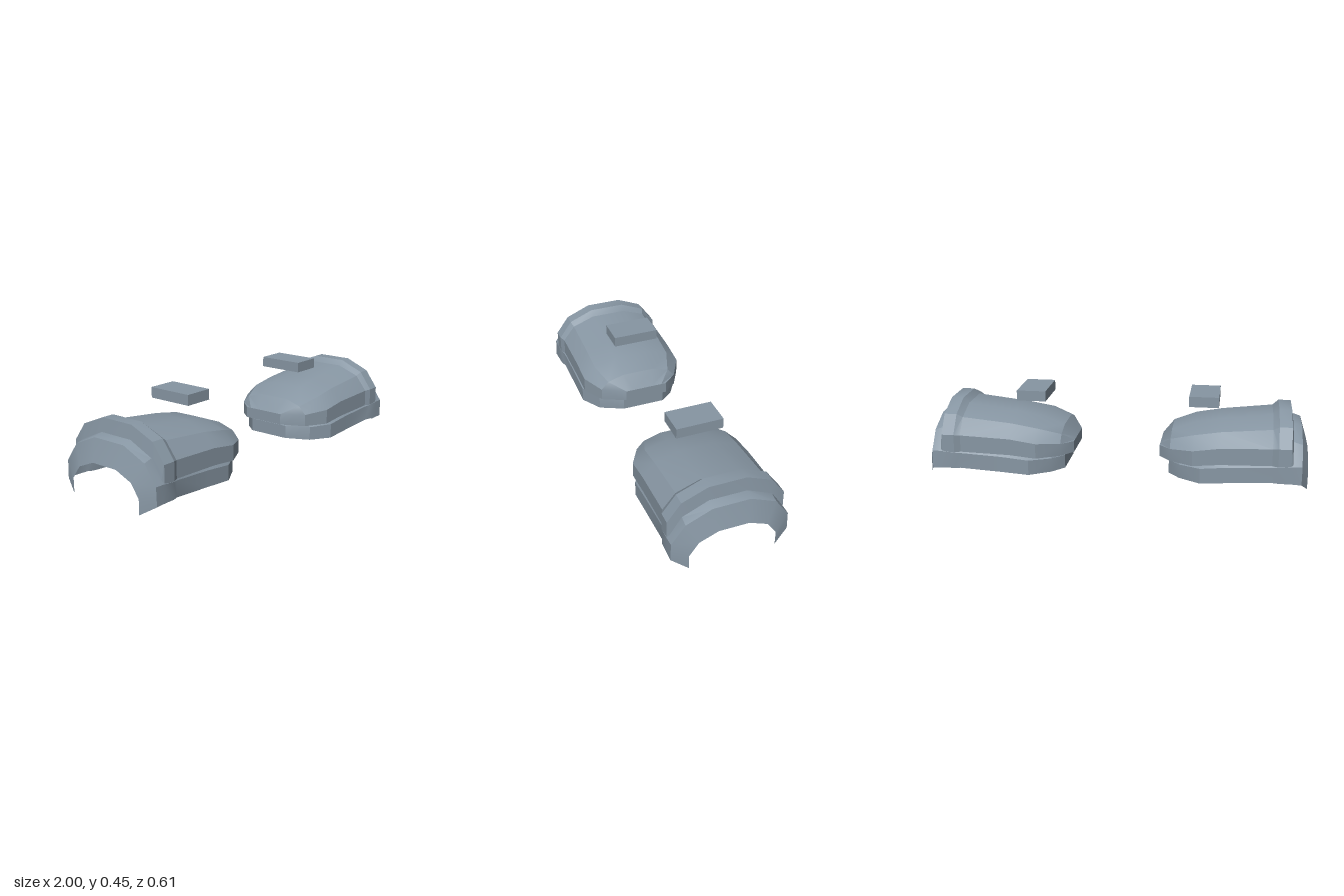
import * as THREE from 'three';
import { toCreasedNormals } from 'three/addons/utils/BufferGeometryUtils.js';

// Arch section at x: four [z, y] corners from lower edge to crown, mirrored in z
const arch = (x, edge, side, mid, top) => {
  const half = [edge, side, mid, top];
  return [
    ...half.map(([z, y]) => new THREE.Vector3(x, y, z)),
    ...half.slice().reverse().map(([z, y]) => new THREE.Vector3(x, y, -z)),
  ];
};

// Blunt nose section: a slightly offset vertical wall
const nose = (x, low, high) => [
  [0.093, low], [0.093, high], [0.085, high], [0.05, high],
  [-0.06, high], [-0.12, high], [-0.147, high], [-0.147, low],
].map(([z, y]) => new THREE.Vector3(x, y, z));

// Skin the sections and close the nose wall
function shell(sections) {
  const pos = [];
  const tri = (a, b, c) => {
    const area = b.clone().sub(a).cross(c.clone().sub(a)).length();
    if (area > 1e-7) for (const p of [a, b, c]) pos.push(p.x, p.y, p.z);
  };
  const quad = (a, b, c, d) => { tri(a, b, c); tri(a, c, d); };
  for (let i = 0; i < sections.length - 1; i++) {
    const s = sections[i], t = sections[i + 1];
    for (let j = 0; j < s.length - 1; j++) quad(s[j], t[j], t[j + 1], s[j + 1]);
  }
  const n = sections[0];
  quad(n[0], n[1], n[6], n[7]);
  const geo = new THREE.BufferGeometry();
  geo.setAttribute('position', new THREE.Float32BufferAttribute(pos, 3));
  return toCreasedNormals(geo, 0.42);
}

export function createModel() {
  const steel = new THREE.MeshStandardMaterial({ color: 0x8796a3, side: THREE.DoubleSide });
  steel.name = 'blueGreySteel';

  // Upper plate, ending in the raised collar
  const upperGeo = shell([
    nose(0.23, 0.12, 0.18),
    arch(0.29, [0.22, 0.12], [0.22, 0.185], [0.18, 0.228], [0.09, 0.255]),
    arch(0.41, [0.285, 0.12], [0.285, 0.2], [0.22, 0.265], [0.097, 0.3]),
    arch(0.55, [0.285, 0.133], [0.285, 0.22], [0.22, 0.288], [0.097, 0.326]),
    arch(0.815, [0.285, 0.14], [0.285, 0.23], [0.22, 0.312], [0.097, 0.357]),
    arch(0.845, [0.3, 0.14], [0.3, 0.235], [0.23, 0.33], [0.097, 0.385]),
    arch(0.91, [0.3, 0.14], [0.3, 0.235], [0.23, 0.33], [0.097, 0.385]),
    arch(0.92, [0.295, 0.14], [0.29, 0.16], [0.225, 0.255], [0.097, 0.315]),
  ]);

  // Lower plate under it, ending in a flange that slopes in to the arm opening
  const lowerGeo = shell([
    nose(0.28, 0.028, 0.1),
    arch(0.34, [0.22, 0.028], [0.22, 0.102], [0.18, 0.14], [0.09, 0.165]),
    arch(0.45, [0.288, 0.028], [0.288, 0.108], [0.22, 0.18], [0.097, 0.215]),
    arch(0.6, [0.288, 0.038], [0.288, 0.122], [0.22, 0.205], [0.097, 0.25]),
    arch(0.82, [0.288, 0.05], [0.288, 0.133], [0.22, 0.23], [0.097, 0.285]),
    arch(0.85, [0.3, 0.052], [0.3, 0.138], [0.225, 0.245], [0.097, 0.305]),
    arch(0.92, [0.302, 0.052], [0.302, 0.145], [0.23, 0.255], [0.097, 0.315]),
    arch(0.965, [0.303, 0.05], [0.3, 0.145], [0.23, 0.242], [0.097, 0.3]),
    arch(1.0, [0.223, 0.002], [0.223, 0.08], [0.175, 0.147], [0.078, 0.187]),
  ]);

  const blockGeo = new THREE.BoxGeometry(0.155, 0.055, 0.25);

  const model = new THREE.Group();
  model.name = 'shoulderArmour';
  for (const [name, sign] of [['leftShoulder', 1], ['rightShoulder', -1]]) {
    const shoulder = new THREE.Group();
    shoulder.name = name;
    shoulder.scale.x = sign;
    const add = (part, geo) => {
      const mesh = new THREE.Mesh(geo, steel);
      mesh.name = part;
      shoulder.add(mesh);
      return mesh;
    };
    add('upperPlate', upperGeo);
    add('lowerPlate', lowerGeo);
    // Floating strap block above the plate
    add('strapBlock', blockGeo).position.set(0.457, 0.422, -0.022);
    model.add(shoulder);
  }
  return model;
}
